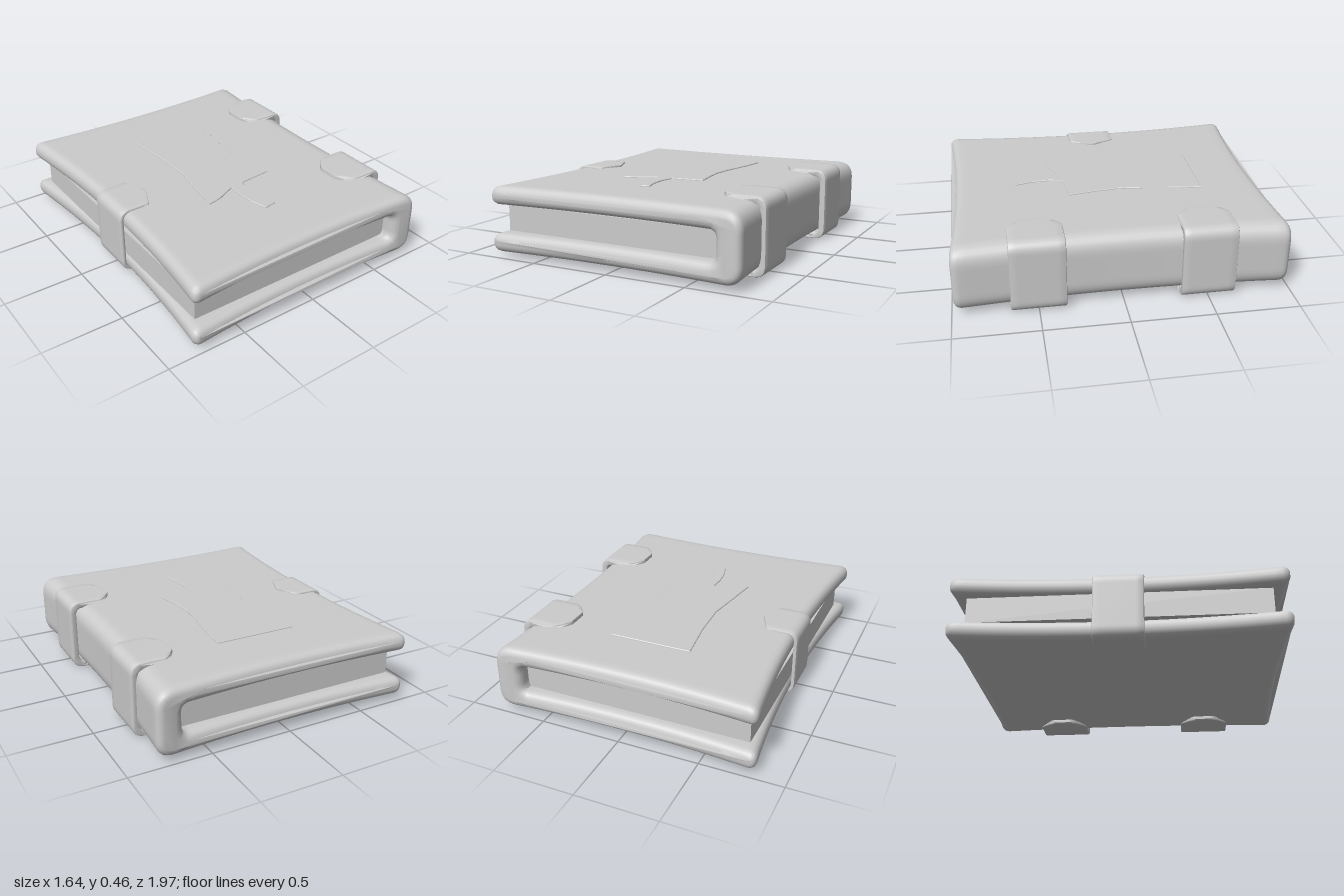
import * as THREE from 'three';
import { toCreasedNormals } from 'three/addons/utils/BufferGeometryUtils.js';

const grey = new THREE.MeshStandardMaterial({ color: 0xcccccc });

function addMesh(group, name, geometry) {
  const mesh = new THREE.Mesh(geometry, grey);
  mesh.name = name;
  group.add(mesh);
  return mesh;
}

// Closed outline with rounded corners, from [x, y, radius] points, evenly sampled
function roundedOutline(corners, samples) {
  const path = new THREE.Shape();
  corners.forEach(([x, y, r], i) => {
    const p = new THREE.Vector2(x, y);
    const toward = (c) => new THREE.Vector2(c[0], c[1]).sub(p).setLength(r).add(p);
    const a = toward(corners.at(i - 1));
    const b = toward(corners[(i + 1) % corners.length]);
    if (i === 0) path.moveTo(a.x, a.y);
    else path.lineTo(a.x, a.y);
    path.quadraticCurveTo(x, y, b.x, b.y);
  });
  path.closePath();
  const points = path.getSpacedPoints(samples);
  points.pop();
  return new THREE.Shape(points);
}

// Extrude an outline to z = -half..half with rounded rims inside the outline
function extrudeCentred(shape, half, bevel, steps, bevelSegments) {
  const geometry = new THREE.ExtrudeGeometry(shape, {
    depth: 2 * (half - bevel), steps, bevelEnabled: true,
    bevelThickness: bevel, bevelSize: bevel * 0.9, bevelOffset: -bevel * 0.9, bevelSegments,
  });
  return geometry.translate(0, 0, bevel - half);
}

// Move every vertex by a rule
function warp(geometry, rule) {
  const pos = geometry.attributes.position;
  const v = new THREE.Vector3();
  for (let i = 0; i < pos.count; i++) {
    rule(v.fromBufferAttribute(pos, i));
    pos.setXYZ(i, v.x, v.y, v.z);
  }
  return toCreasedNormals(geometry, 0.7);
}

// C-shaped band around an edge on the +x side, its ends narrowing to a tip
function strapGeometry({ outer, shoulder, tip, y0, y1, t, halfWidth, tipWidth, power }) {
  const r = 0.07;
  const outline = roundedOutline([
    [tip, y0, 0.008], [outer, y0, r], [outer, y1, r], [tip, y1, 0.008],
    [tip, y1 - t, 0.004], [outer - t, y1 - t, r * 0.6],
    [outer - t, y0 + t, r * 0.6], [tip, y0 + t, 0.004],
  ], 160);
  return warp(extrudeCentred(outline, halfWidth, 0.01, 8, 2), (v) => {
    const k = THREE.MathUtils.clamp((shoulder - v.x) / (shoulder - tip), 0, 1);
    v.z *= 1 - (1 - tipWidth) * Math.pow(k, power);
  });
}

export function createModel() {
  const book = new THREE.Group();
  book.name = 'book';

  // Padded cover: two boards joined by the spine, edges pulled in midway
  const coverOutline = roundedOutline([
    [-0.83, 0.03, 0.06], [0.82, 0.03, 0.11], [0.82, 0.435, 0.11], [-0.83, 0.435, 0.06],
    [-0.83, 0.32, 0.05], [0.66, 0.32, 0.04], [0.66, 0.145, 0.04], [-0.83, 0.145, 0.05],
  ], 300);
  addMesh(book, 'cover', warp(extrudeCentred(coverOutline, 0.99, 0.05, 40, 4), (v) => {
    const { x, z } = v;
    v.x *= 1 - (x < 0 ? 0.085 : 0.055) * (1 - z * z);
    v.z *= 1 - 0.04 * (1 - (x / 0.82) ** 2);
  }));

  // Page block
  const pages = addMesh(book, 'pages', new THREE.BoxGeometry(1.43, 0.16, 1.78));
  pages.position.set(-0.045, 0.231, 0);

  // Two bands over the spine
  const band = strapGeometry({
    outer: 0.82, shoulder: 0.61, tip: 0.525, y0: 0.003, y1: 0.458, t: 0.04,
    halfWidth: 0.162, tipWidth: 0.4, power: 1.3,
  });
  for (const side of [1, -1]) {
    addMesh(book, side > 0 ? 'frontSpineBand' : 'backSpineBand', band).position.z = side * 0.5;
  }

  // Pointed clasp holding the open edge shut
  const clasp = addMesh(book, 'clasp', strapGeometry({
    outer: 0.785, shoulder: 0.585, tip: 0.525, y0: 0.018, y1: 0.447, t: 0.024,
    halfWidth: 0.15, tipWidth: 0.06, power: 1,
  }));
  clasp.rotation.y = Math.PI;

  // Raised patch and ribbon on the top board, outlined as [x, z]
  const raised = {
    patch: [[-0.27, -0.585], [0.245, -0.585], [0.235, -0.45], [0.2, -0.22], [0.185, -0.06],
      [0.2, 0.08], [0.23, 0.25], [0.06, 0.265], [-0.08, 0.285], [-0.2, 0.34], [-0.29, 0.36],
      [-0.26, 0.16], [-0.225, -0.06], [-0.235, -0.3]],
    ribbon: [[-0.07, 0.25], [0.025, 0.25], [0.005, 0.36], [0.01, 0.46], [0.038, 0.57],
      [-0.04, 0.582], [-0.07, 0.48], [-0.08, 0.38]],
  };
  for (const [name, outline] of Object.entries(raised)) {
    const shape = new THREE.Shape(outline.map(([x, z]) => new THREE.Vector2(x, -z)));
    const geometry = new THREE.ExtrudeGeometry(shape, {
      depth: 0.035, bevelThickness: 0.004, bevelSize: 0.004, bevelOffset: -0.004, bevelSegments: 1,
    });
    addMesh(book, name, geometry.rotateX(-Math.PI / 2)).position.y = 0.404;
  }

  return book;
}
